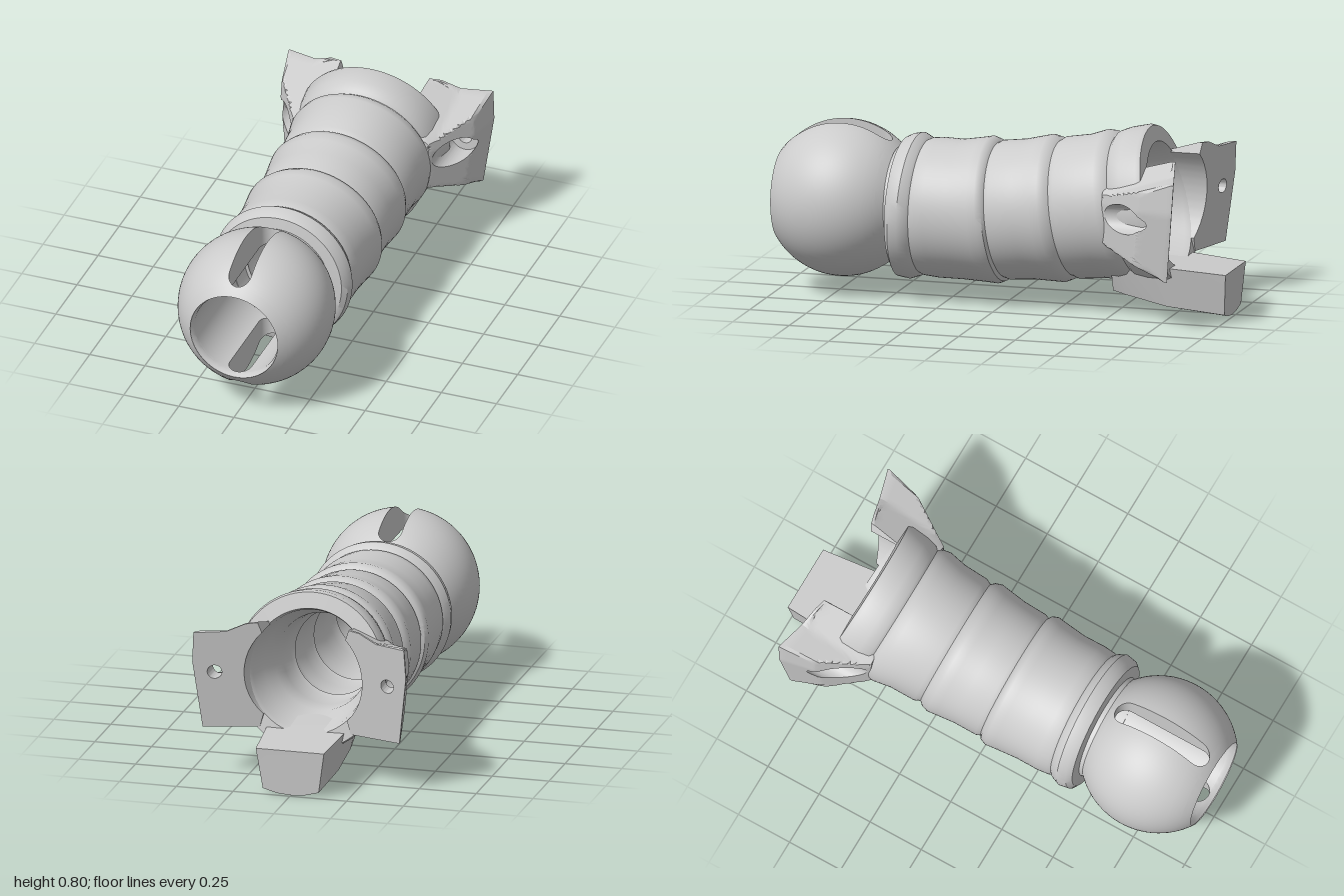
import * as THREE from 'three';
import { toCreasedNormals } from 'three/addons/utils/BufferGeometryUtils.js';

const material = new THREE.MeshStandardMaterial({ color: 0xcccccc });

// Skin over a list of rows of [x, y, z] points; each row closes on itself.
function skin(rows, crease, closeRows = false) {
  const n = rows[0].length, index = [];
  const count = closeRows ? rows.length : rows.length - 1;
  for (let i = 0; i < count; i++) {
    const k = (i + 1) % rows.length;
    for (let j = 0; j < n; j++) {
      const m = (j + 1) % n;
      const a = i * n + j, b = k * n + j, c = k * n + m, d = i * n + m;
      index.push(a, b, d, b, c, d);
    }
  }
  const geometry = new THREE.BufferGeometry();
  geometry.setAttribute('position', new THREE.Float32BufferAttribute(rows.flat(2), 3));
  geometry.setIndex(index);
  return toCreasedNormals(geometry, crease);
}

function part(name, geometry) {
  const mesh = new THREE.Mesh(geometry, material);
  mesh.name = name;
  return mesh;
}

// Piecewise linear lookup in a table of [z, value], z falling.
function lookup(table, z) {
  for (let i = 1; i < table.length; i++) {
    const [z0, v0] = table[i - 1], [z1, v1] = table[i];
    if (z >= z1) return v0 + (v1 - v0) * THREE.MathUtils.clamp((z - z0) / (z1 - z0), 0, 1);
  }
  return table[table.length - 1][1];
}

// Ribbed sleeve: a ringed profile swept along a gently rising centre line.
function sleeveGeometry() {
  const centre = [[0.5, 0.405], [0.45, 0.39], [0.2, 0.386], [0, 0.396], [-0.27, 0.422], [-0.5, 0.45], [-0.7, 0.468]];
  const tilt = [[0.5, 0], [0.45, -0.06], [0.3, 0.03], [0.04, 0.1], [-0.27, 0.15], [-0.54, 0.2], [-0.7, 0.23]];
  const outer = [
    [0.5, 0.23], [0.475, 0.235], [0.47, 0.285], [0.45, 0.305], [0.41, 0.312], [0.375, 0.297], [0.365, 0.287],
    [0.35, 0.293], [0.3, 0.298], [0.2, 0.297], [0.1, 0.307], [0.06, 0.312], [0.035, 0.302], [0.025, 0.287],
    [0.005, 0.295], [-0.1, 0.297], [-0.18, 0.307], [-0.22, 0.312], [-0.25, 0.302], [-0.265, 0.288],
    [-0.29, 0.3], [-0.4, 0.303], [-0.48, 0.318], [-0.515, 0.312], [-0.535, 0.298], [-0.55, 0.312],
    [-0.6, 0.325], [-0.68, 0.334], [-0.7, 0.328]];
  const bore = outer.filter(([z]) => z < 0.4 && z > -0.45).reverse().map(([z, r]) => [z, r - 0.105]);
  const profile = [...outer, [-0.705, 0.262], [-0.68, 0.252], [-0.56, 0.235], [-0.5, 0.205], ...bore, [0.5, 0.187]];
  const rows = profile.map(([z, r]) => Array.from({ length: 80 }, (_, j) => {
    const a = j / 80 * Math.PI * 2, dy = r * Math.sin(a);
    return [r * Math.cos(a), lookup(centre, z) + dy, z + lookup(tilt, z) * dy];
  }));
  return skin(rows, 0.6, true);
}

// One half of the bored ball, notched by round-ended slots above and below.
function ballHalfGeometry() {
  const R = 0.335, w = 0.05, zs = [1, 0.995, 0.985];
  for (let i = 0; i <= 8; i++) zs.push(0.97 - w * (1 - Math.cos(i / 8 * Math.PI / 2)));
  for (let i = 1; i < 18; i++) zs.push(0.92 - 0.35 * i / 18);
  for (let i = 0; i <= 8; i++) zs.push(0.57 - w * Math.sin(i / 8 * Math.PI / 2));
  zs.push(0.505, 0.49);
  const rows = zs.map(z => {
    const ro = Math.sqrt(R * R - (z - 0.73) ** 2);
    const ri = z > 0.98 ? 0.19 + (ro - 0.19) * (z - 0.98) / 0.02 : 0.189;
    const e = Math.max(0, z - 0.92, 0.57 - z);
    const half = e < w ? Math.sqrt(w * w - e * e) : 0;
    const arc = (r, s) => Array.from({ length: 41 }, (_, j) => {
      const a = s * (j / 20 - 1) * (Math.PI / 2 - Math.asin(half / r));
      return [r * Math.cos(a), r * Math.sin(a), z - 0.73];
    });
    return [...arc(ro, 1), ...arc(ri, -1)];
  });
  return skin(rows, 0.6);
}

// Flared mounting wing, lofted around its counterbored screw hole.
function wingGeometry() {
  const hx = 0.38, hy = 0.472, rim = 0.063, hole = 0.03, floor = -0.745;
  const corners = [[0.47, 0.52], [0.463, 0.65], [0.33, 0.655], [0.25, 0.69], [0.2, 0.695]];
  for (let i = 0; i <= 12; i++) {
    const a = (45 - 7.5 * i) * Math.PI / 180;
    corners.push([0.26 * Math.cos(a), 0.465 + 0.26 * Math.sin(a)]);
  }
  corners.push([0.2, 0.222], [0.433, 0.222]);
  const outline = corners.flatMap(([x, y], i) => {
    const [u, v] = corners[(i + 1) % corners.length];
    const steps = Math.ceil(Math.hypot(u - x, v - y) / 0.02);
    return Array.from({ length: steps }, (_, k) => [x + (u - x) * k / steps, y + (v - y) * k / steps]);
  });
  const back = (x, y) => -0.865 + 0.28 * (0.466 - x) + 0.07 * (0.65 - y);
  const front = (x, y) => {
    const edge = y > 0.52 ? 0.47 - 0.054 * (y - 0.52) : 0.47 - 0.124 * (0.52 - y);
    const top = x > 0.33 ? 0.655 : 0.655 + (0.33 - x) * 0.32;
    const d = Math.max(0, edge - x);
    const side = d < 0.03 ? 4.6 * d : 0.138 + 1.25 * (d - 0.03);
    const rise = Math.min(side, 3 * Math.max(0, top - y), 2.4 * Math.max(0, y - 0.222));
    return Math.min(-0.5, back(x, y) + 0.012 + rise);
  };
  const rows = outline.map(([ox, oy]) => {
    const len = Math.hypot(ox - hx, oy - hy), dx = (ox - hx) / len, dy = (oy - hy) / len;
    const at = (r, zf) => {
      const x = hx + dx * r, y = hy + dy * r;
      return [x, y, zf(x, y)];
    };
    const base = (x, y) => Math.min(floor, front(x, y));
    const row = [at(len, back)];
    for (let k = 0; k <= 14; k++) row.push(at(len + (rim - len) * k / 14, front));
    row.push(at(rim, base), at(hole, base), at(hole, back));
    return row;
  });
  return skin(rows, 0.35, true);
}

// Tapered tongue below the rear opening: z, bottom, top, half width.
function tongueGeometry() {
  const stations = [[-0.5, 0.085, 0.2, 0.17], [-0.56, 0.07, 0.236, 0.175], [-0.74, 0.03, 0.225, 0.172], [-0.99, 0.004, 0.205, 0.15]];
  const rows = stations.map(([z, b, t, w]) => {
    const s = w * 0.82;
    return [[-s, b + 0.022], [-s / 2, b + 0.005], [0, b], [s / 2, b + 0.005], [s, b + 0.022], [w, t], [-w, t]]
      .map(([x, y]) => [x, y, z < -0.9 ? -0.985 - 0.015 * (y - b) / (t - b) : z]);
  });
  const cap = (row, z) => row.map(() => [0, 0.12, z]);
  return skin([cap(rows[0], -0.5), ...rows, cap(rows[3], -0.993)], 0.4);
}

export function createModel() {
  const group = new THREE.Group();
  group.name = 'ballJointSleeve';

  const ball = new THREE.Group();
  ball.name = 'slottedBall';
  ball.position.set(0, 0.405, 0.73);
  const halfGeometry = ballHalfGeometry();
  const leftHalf = part('ballLeftHalf', halfGeometry);
  const rightHalf = part('ballRightHalf', halfGeometry);
  rightHalf.rotation.z = Math.PI;
  ball.add(leftHalf, rightHalf);

  const wing = wingGeometry();
  const leftWing = part('leftMountingWing', wing);
  const rightWing = part('rightMountingWing', wing);
  rightWing.scale.x = -1;

  group.add(ball, part('ribbedSleeve', sleeveGeometry()), leftWing, rightWing, part('rearTongue', tongueGeometry()));
  return group;
}
